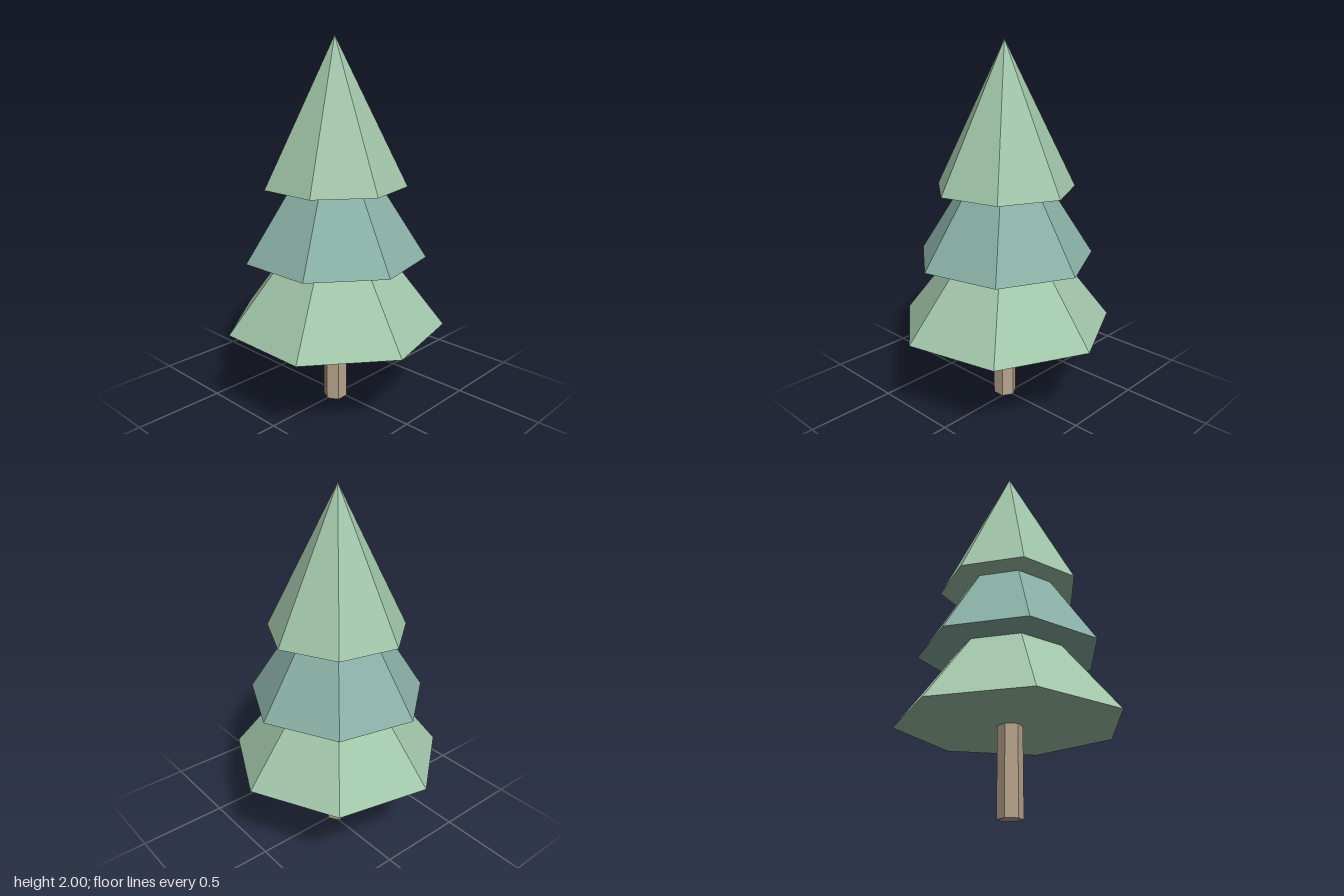
import * as THREE from 'three';

const CENTER_Z = 0.03; // a seven-sided crown is off-centre in its own bounds

function addPart(group, name, geometry, color, y) {
  const material = new THREE.MeshStandardMaterial({ color, flatShading: true });
  const mesh = new THREE.Mesh(geometry, material);
  mesh.name = name;
  mesh.position.set(0, y, CENTER_Z);
  group.add(mesh);
}

export function createModel() {
  const tree = new THREE.Group();
  tree.name = 'pineTree';

  // Hexagonal trunk, its top tucked just inside the lowest tier
  const trunkHeight = 0.48;
  addPart(tree, 'trunk', new THREE.CylinderGeometry(0.066, 0.066, trunkHeight, 6), 0xb8a48c, trunkHeight / 2);

  // Three overlapping seven-sided cones, one corner pointing to the back
  const tierHeight = 0.77;
  const tiers = [
    { name: 'lowerFoliage', radius: 0.6, base: 0.46, color: 0xa2c6aa },
    { name: 'middleFoliage', radius: 0.494, base: 0.845, color: 0x8ab0a6 },
    { name: 'upperFoliage', radius: 0.386, base: 1.23, color: 0xa2c6aa },
  ];
  for (const { name, radius, base, color } of tiers) {
    const cone = new THREE.ConeGeometry(radius, tierHeight, 7, 1, false, Math.PI);
    addPart(tree, name, cone, color, base + tierHeight / 2);
  }

  return tree;
}
